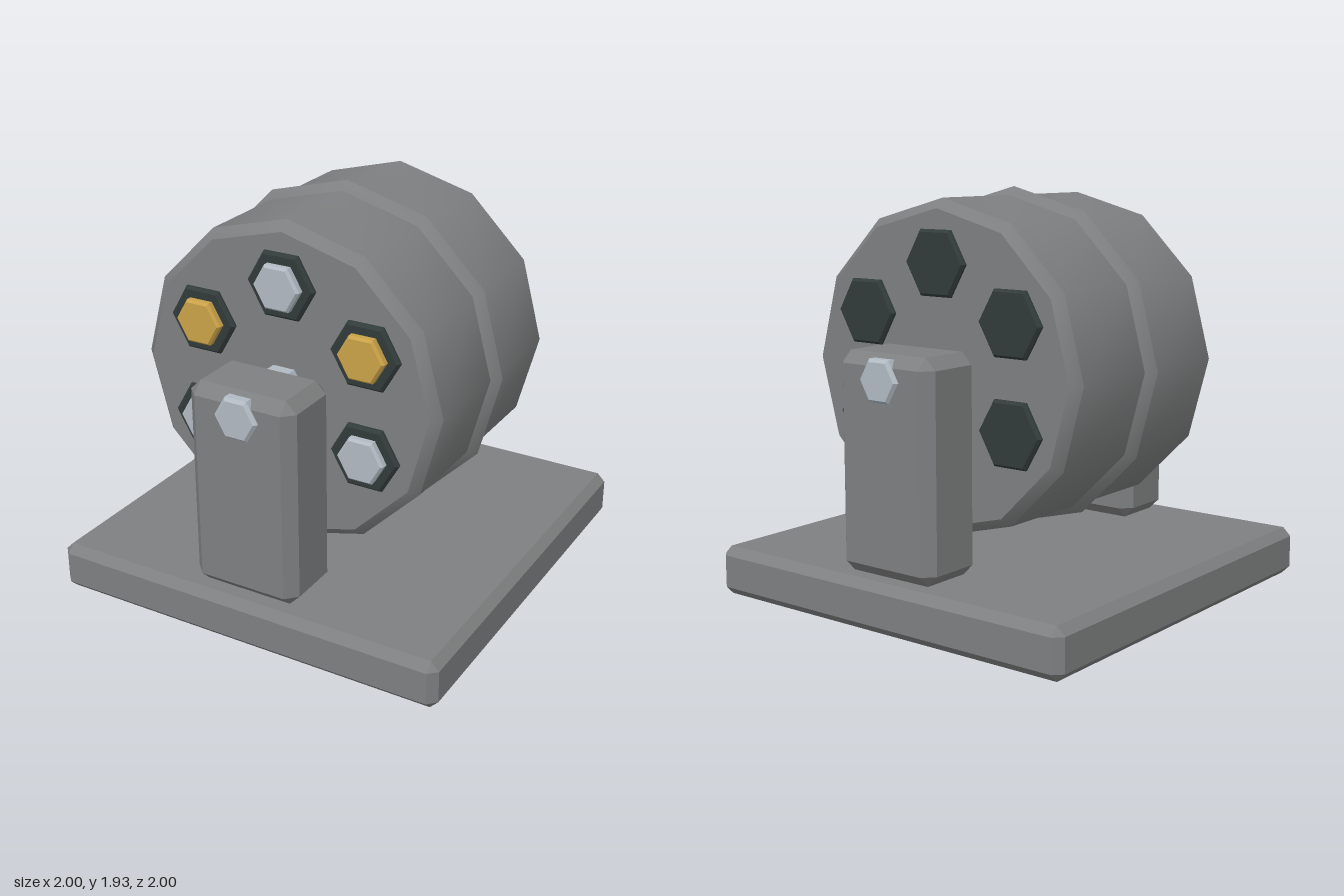
import * as THREE from 'three';
import { toCreasedNormals } from 'three/addons/utils/BufferGeometryUtils.js';
import { ConvexGeometry } from 'three/addons/geometries/ConvexGeometry.js';

const DRUM_Y = 1.12;

const steel = new THREE.MeshStandardMaterial({ color: 0x7e7f80 });
const chamberDark = new THREE.MeshStandardMaterial({ color: 0x313b3a });
const silver = new THREE.MeshStandardMaterial({ color: 0xb0b9c2 });
const gold = new THREE.MeshStandardMaterial({ color: 0xc9a148 });
for (const [m, n] of [[steel, 'steel'], [chamberDark, 'chamberDark'], [silver, 'silver'], [gold, 'gold']]) m.name = n;

// Box with every edge chamfered by b
function chamferBox(w, h, d, b) {
  const half = [w / 2, h / 2, d / 2];
  const points = [];
  for (const sx of [-1, 1]) for (const sy of [-1, 1]) for (const sz of [-1, 1]) {
    for (let full = 0; full < 3; full++) {
      const c = half.map((v, i) => (i === full ? v : v - b));
      points.push(new THREE.Vector3(c[0] * sx, c[1] * sy, c[2] * sz));
    }
  }
  return new ConvexGeometry(points);
}

// Profile [radius, z] turned around the z axis
function turned(profile, sides, start, crease) {
  const lathe = new THREE.LatheGeometry(profile.map(([r, z]) => new THREE.Vector2(r, z)), sides, start);
  return toCreasedNormals(lathe.rotateX(Math.PI / 2), crease);
}

// Chamfered hexagonal bar with corners pointing to +x and -x
function hexBar(r, halfLength, b) {
  return turned([
    [0, -halfLength], [r - b, -halfLength], [r, -halfLength + b],
    [r, halfLength - b], [r - b, halfLength], [0, halfLength],
  ], 6, Math.PI / 6, 0.2);
}

export function createModel() {
  const model = new THREE.Group();
  model.name = 'drumOnStand';
  const add = (parent, name, geometry, material, x, y, z) => {
    const mesh = new THREE.Mesh(geometry, material);
    mesh.name = name;
    mesh.position.set(x, y, z);
    parent.add(mesh);
  };

  // Base plate and the two uprights
  add(model, 'base', chamferBox(2, 0.235, 2, 0.04), steel, 0, 0.1175, 0);
  const post = chamferBox(0.54, 1, 0.345, 0.053);
  add(model, 'frontPost', post, steel, 0, 0.735, 0.768);
  add(model, 'backPost', post, steel, 0, 0.735, -0.768);

  // Rotating assembly
  const drum = new THREE.Group();
  drum.name = 'drumAssembly';
  drum.position.y = DRUM_Y;
  model.add(drum);

  // Twelve-sided drum with a ridge around the middle
  add(drum, 'drum', turned([
    [0, -0.56], [0.725, -0.56], [0.77, -0.515], [0.77, -0.045], [0.81, 0],
    [0.77, 0.045], [0.77, 0.515], [0.725, 0.56], [0, 0.56],
  ], 12, 0, 0.6), steel, 0, 0, 0);

  add(drum, 'axle', hexBar(0.11, 0.96, 0.015), silver, 0, 0, 0);

  // Six chambers running through the drum, each with an insert at the front
  const chamber = hexBar(0.172, 0.584, 0.014);
  const insert = hexBar(0.117, 0.06, 0.012);
  for (let i = 0; i < 6; i++) {
    const a = Math.PI / 2 + (i * Math.PI) / 3;
    const x = 0.483 * Math.cos(a), y = 0.483 * Math.sin(a);
    add(drum, 'chamber', chamber, chamberDark, x, y, 0);
    add(drum, 'insert', insert, i === 1 || i === 5 ? gold : silver, x, y, 0.562);
  }
  return model;
}
